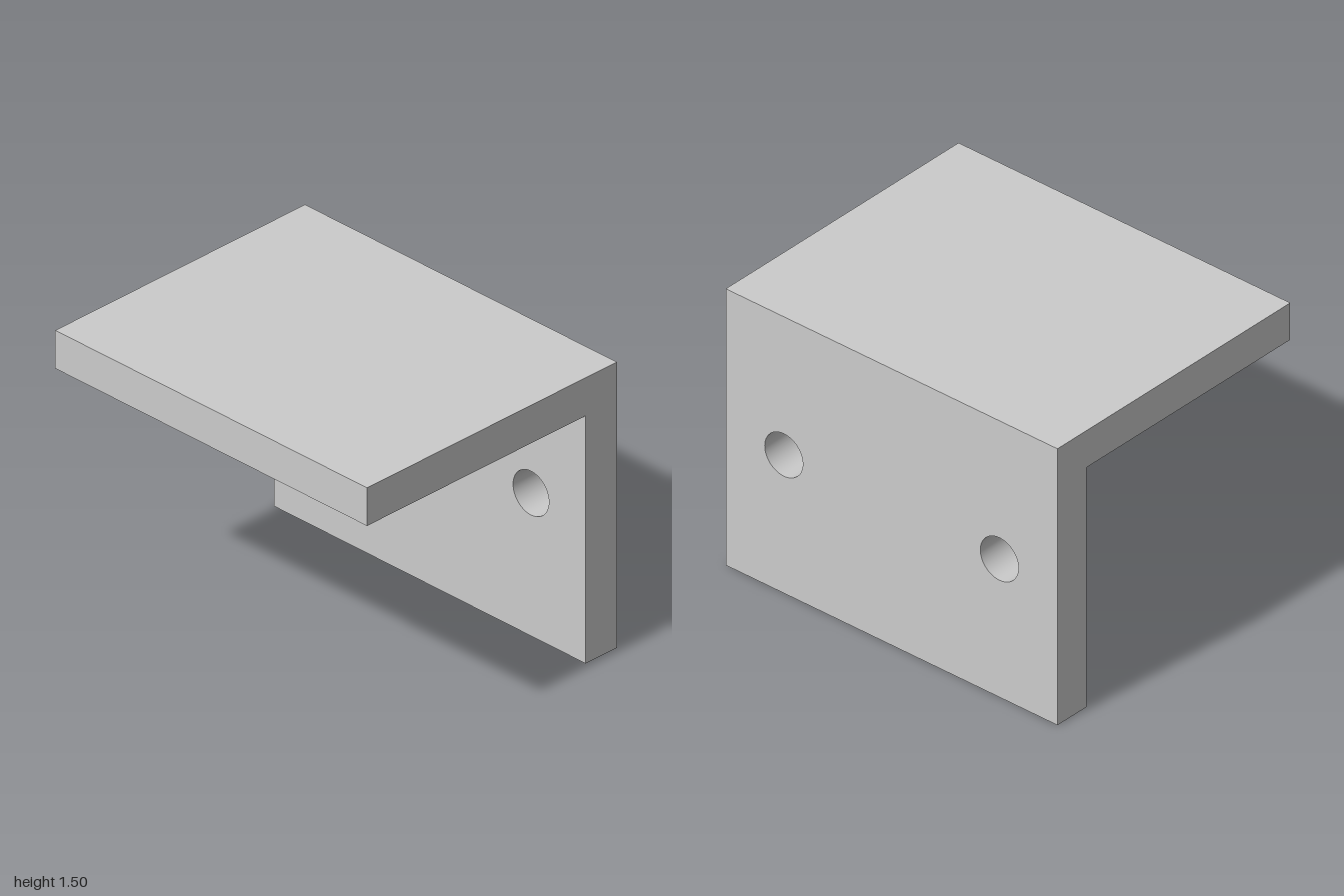
import * as THREE from 'three';
import { toCreasedNormals } from 'three/addons/utils/BufferGeometryUtils.js';

const WIDTH = 2, HEIGHT = 1.5, DEPTH = 1.6, THICK = 0.2;
const HOLE_X = 0.65, HOLE_Y = 0.75, HOLE_RADIUS = 0.115;

export function createModel() {
  const group = new THREE.Group();
  group.name = 'angleBracket';
  const material = new THREE.MeshStandardMaterial({ color: 0xcccccc });

  // Upright plate at the back, with two round screw holes
  const outline = new THREE.Shape([
    new THREE.Vector2(-WIDTH / 2, 0),
    new THREE.Vector2(WIDTH / 2, 0),
    new THREE.Vector2(WIDTH / 2, HEIGHT),
    new THREE.Vector2(-WIDTH / 2, HEIGHT),
  ]);
  for (const side of [-1, 1]) {
    outline.holes.push(new THREE.Path().absarc(side * HOLE_X, HOLE_Y, HOLE_RADIUS, 0, Math.PI * 2, true));
  }
  const plate = new THREE.ExtrudeGeometry(outline, { depth: THICK, bevelEnabled: false, curveSegments: 32 });
  const backPlate = new THREE.Mesh(toCreasedNormals(plate, Math.PI / 6), material);
  backPlate.name = 'backPlate';
  backPlate.position.z = -DEPTH / 2;
  group.add(backPlate);

  // Horizontal plate reaching forward from the top of the upright
  const topPlate = new THREE.Mesh(new THREE.BoxGeometry(WIDTH, THICK, DEPTH - THICK), material);
  topPlate.name = 'topPlate';
  topPlate.position.set(0, HEIGHT - THICK / 2, THICK / 2);
  group.add(topPlate);

  return group;
}
